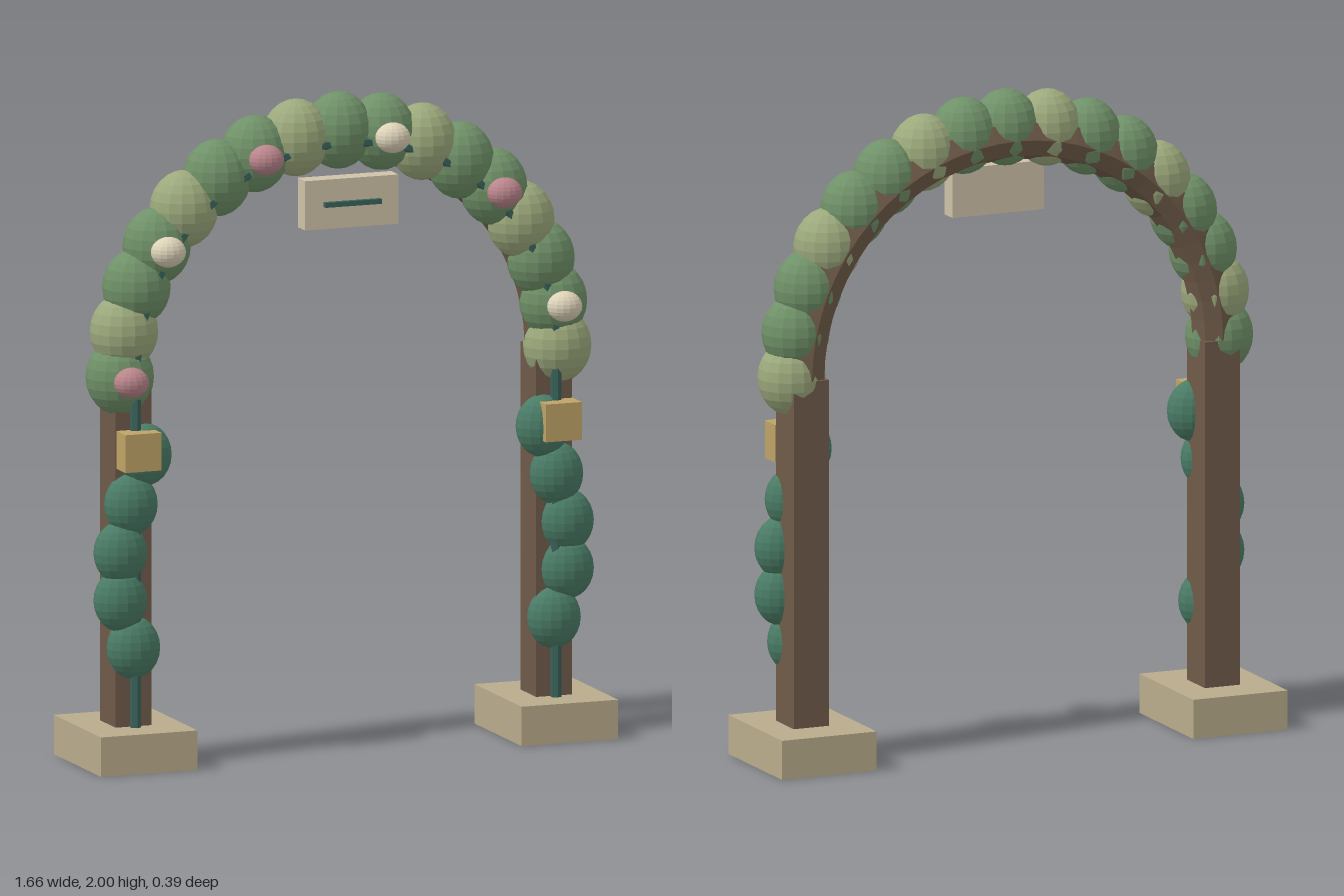
import * as THREE from 'three';

const mat = (color) => new THREE.MeshStandardMaterial({ color, flatShading: true });

export function createModel() {
  const group = new THREE.Group();
  const stone = mat(0xb9ab8c), wood = mat(0x6f5b49), vineMat = mat(0x3a625a);
  const green = mat(0x6f9168), lightGreen = mat(0x9ca97c), teal = mat(0x4a7c66);
  const gold = mat(0xbfa366), board = mat(0xcfc2a8), pink = mat(0xb9858b), cream = mat(0xddd2b8);

  const add = (name, geometry, material, x, y, z) => {
    const mesh = new THREE.Mesh(geometry, material);
    mesh.name = name;
    mesh.position.set(x, y, z);
    group.add(mesh);
    return mesh;
  };
  const box = (name, m, w, h, d, x, y, z) => add(name, new THREE.BoxGeometry(w, h, d), m, x, y, z);
  const ball = new THREE.SphereGeometry(1, 16, 12);
  const blob = (name, m, rx, ry, rz, x, y, z) => add(name, ball, m, x, y, z).scale.set(rx, ry, rz);

  const postX = 0.675, springY = 1.18, leafR = 0.702;

  // Posts with footings, climbing stems, lanterns and low foliage
  const lowLeaves = [[0.675, 0.36], [0.717, 0.507], [0.717, 0.652], [0.683, 0.797], [0.638, 0.945]];
  for (const [side, s] of [['left', 1], ['right', -1]]) {
    box(side + 'Footing', stone, 0.31, 0.12, 0.39, s * postX, 0.06, 0);
    box(side + 'Post', wood, 0.116, springY - 0.12, 0.13, s * postX, (springY + 0.12) / 2, 0);
    add(side + 'Stem', new THREE.CylinderGeometry(0.017, 0.017, springY - 0.12, 6), vineMat,
      s * postX, (springY + 0.12) / 2, 0.08);
    box(side + 'Lantern', gold, 0.115, 0.115, 0.075, s * postX, 0.967, 0.108);
    for (const [x, y] of lowLeaves) blob(side + 'LowLeaf', teal, 0.083, 0.095, 0.064, s * x, y, 0.063);
  }

  // Arched beam and the stem running along its front
  add('archBeam', new THREE.TorusGeometry(postX, 0.07, 8, 32, Math.PI), wood, 0, springY, 0);
  add('archStem', new THREE.TorusGeometry(postX, 0.017, 6, 32, Math.PI), vineMat, 0, springY, 0.08);

  // Foliage clumps over the arch, with a blossom on every third clump
  for (let i = 0; i <= 16; i++) {
    const a = Math.PI * (1 - i / 16);
    const x = Math.cos(a) * leafR, y = springY + Math.sin(a) * leafR;
    blob('archLeaf', i % 3 === 1 ? lightGreen : green, 0.104, 0.117, 0.094, x, y, 0.02);
    if (i % 3 === 0) blob('blossom', i % 2 ? cream : pink, 0.054, 0.046, 0.045, x, y - 0.003, 0.117);
  }

  // Hanging sign board with a plain bar
  box('signBoard', board, 0.3, 0.15, 0.06, 0, 1.68, 0.1);
  box('signBar', vineMat, 0.18, 0.015, 0.016, 0, 1.68, 0.138);

  return group;
}
